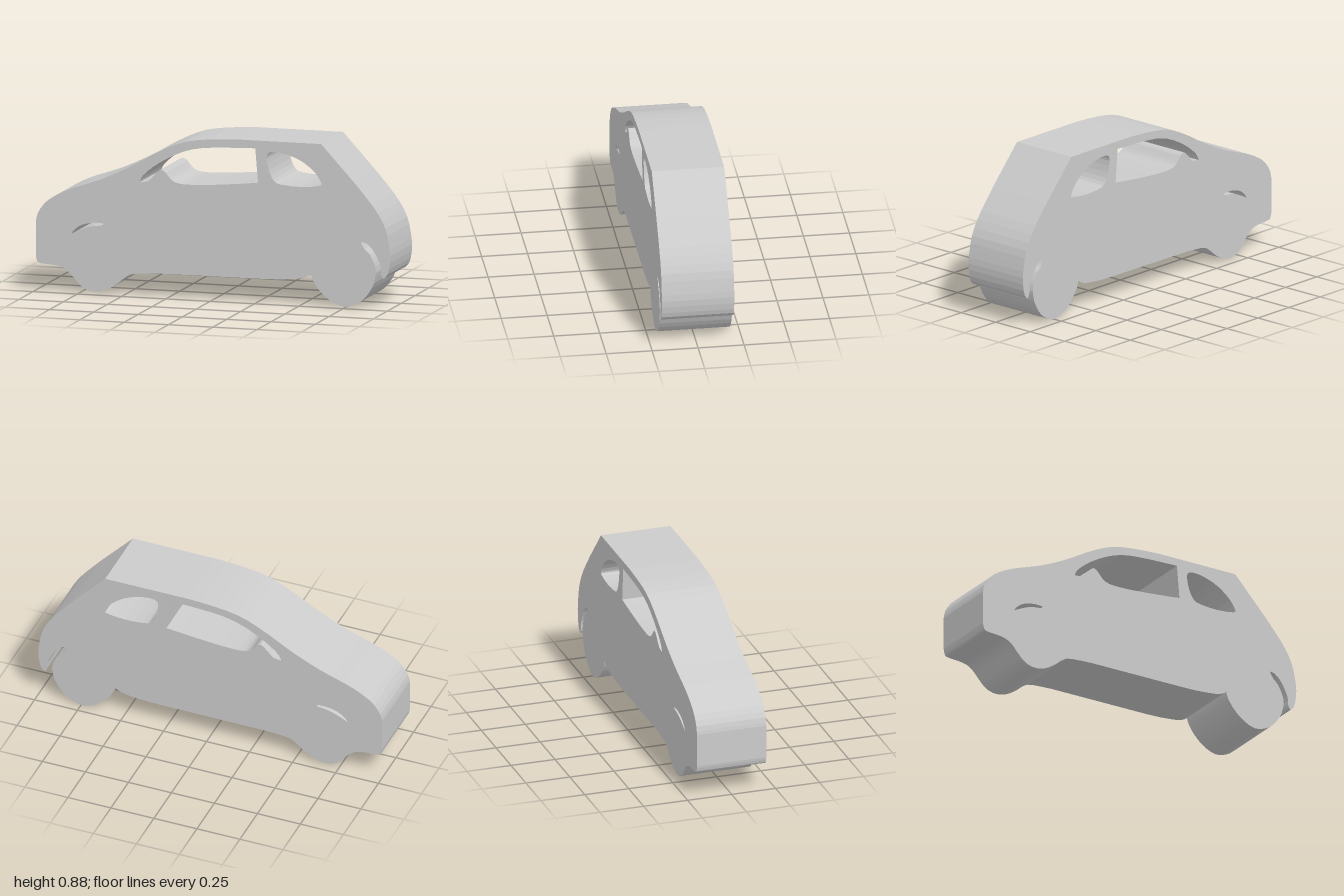
import * as THREE from 'three';

const DEPTH = 0.394;
const SEGMENTS = 2;

// Smooth runs joined at sharp corners; each run starts where the last ended.
function trace(path, runs) {
  path.moveTo(...runs[0][0]);
  runs.forEach((run, i) => {
    const pts = (i === 0 ? run.slice(1) : run).map(([x, y]) => new THREE.Vector2(x, y));
    if (pts.length === 1) path.lineTo(pts[0].x, pts[0].y);
    else path.splineThru(pts);
  });
  return path;
}

// Tailgate down to the tip of the rear bumper
const tail = [
  [[0.61, 0.885], [0.79, 0.691]],
  [[0.837, 0.637], [0.917, 0.54], [0.97, 0.447], [0.992, 0.357], [1, 0.277], [0.987, 0.197], [0.963, 0.167]],
];
// Open slot between the bumper and the rear wheel
const slot = [
  [[0.949, 0.187], [0.944, 0.24], [0.906, 0.315], [0.869, 0.353], [0.837, 0.363]],
  [[0.834, 0.357], [0.853, 0.326], [0.885, 0.294], [0.912, 0.24], [0.92, 0.197]],
];
// Round the rear wheel and up into the notch ahead of it
const rearWheel = [
  [[0.906, 0.133], [0.864, 0.064], [0.81, 0.021], [0.74, 0.001], [0.666, 0.027],
    [0.607, 0.076], [0.57, 0.126], [0.557, 0.155], [0.553, 0.173]],
];
const sill = [
  [[0.537, 0.16], [0.49, 0.144], [0.38, 0.133], [0.275, 0.13]],
  [[-0.31, 0.128]],
];
// Front wheel and lower edge of the front bumper
const frontWheel = [
  [[-0.44, 0.12], [-0.49, 0.101], [-0.543, 0.058], [-0.596, 0.026], [-0.65, 0.01], [-0.709, 0.016],
    [-0.757, 0.048], [-0.81, 0.107], [-0.848, 0.133], [-0.9, 0.144], [-0.971, 0.149], [-0.992, 0.16], [-1, 0.192]],
];
// Nose, bonnet, windscreen and roof
const nose = [
  [[-1, 0.377]],
  [[-0.987, 0.427], [-0.944, 0.486], [-0.88, 0.529], [-0.794, 0.569], [-0.634, 0.625], [-0.473, 0.7],
    [-0.313, 0.791], [-0.179, 0.85], [-0.045, 0.874], [0.126, 0.885]],
  [[0.61, 0.885]],
];

// Front window, with the mirror rising from its lower edge
const frontWindow = [
  [[-0.414, 0.623], [-0.393, 0.663], [-0.313, 0.727], [-0.206, 0.786], [-0.099, 0.821], [0.035, 0.835], [0.238, 0.842]],
  [[0.254, 0.655]],
  [[0.168, 0.645], [-0.02, 0.628], [-0.152, 0.623], [-0.211, 0.631], [-0.243, 0.652], [-0.27, 0.684],
    [-0.297, 0.695], [-0.329, 0.668], [-0.366, 0.631], [-0.414, 0.623]],
];
const rearWindow = [
  [[0.307, 0.813], [0.329, 0.826], [0.393, 0.823], [0.489, 0.791], [0.57, 0.732], [0.61, 0.673],
    [0.596, 0.655], [0.489, 0.644], [0.382, 0.652], [0.345, 0.668], [0.318, 0.716], [0.302, 0.786], [0.307, 0.813]],
];
const headlight = [
  [[-0.8, 0.318], [-0.783, 0.342], [-0.741, 0.371], [-0.676, 0.387], [-0.618, 0.385]],
  [[-0.628, 0.374], [-0.687, 0.366], [-0.741, 0.347], [-0.8, 0.318]],
];

export function createModel() {
  const group = new THREE.Group();
  group.name = 'carSilhouette';

  const outline = trace(new THREE.Shape(), [...tail, ...slot, ...rearWheel, ...sill, ...frontWheel, ...nose]);
  // Openings wind against the outline so their walls face inwards
  for (const opening of [frontWindow, rearWindow, headlight]) {
    const points = trace(new THREE.Path(), opening).getPoints(SEGMENTS).reverse();
    outline.holes.push(new THREE.Path(points));
  }

  // One slab cut to the car's profile
  const geometry = new THREE.ExtrudeGeometry(outline, { depth: DEPTH, bevelEnabled: false, curveSegments: SEGMENTS });
  geometry.translate(0, 0, -DEPTH / 2);
  const body = new THREE.Mesh(geometry, new THREE.MeshStandardMaterial({ color: 0xcccccc }));
  body.name = 'carBody';
  group.add(body);
  return group;
}
